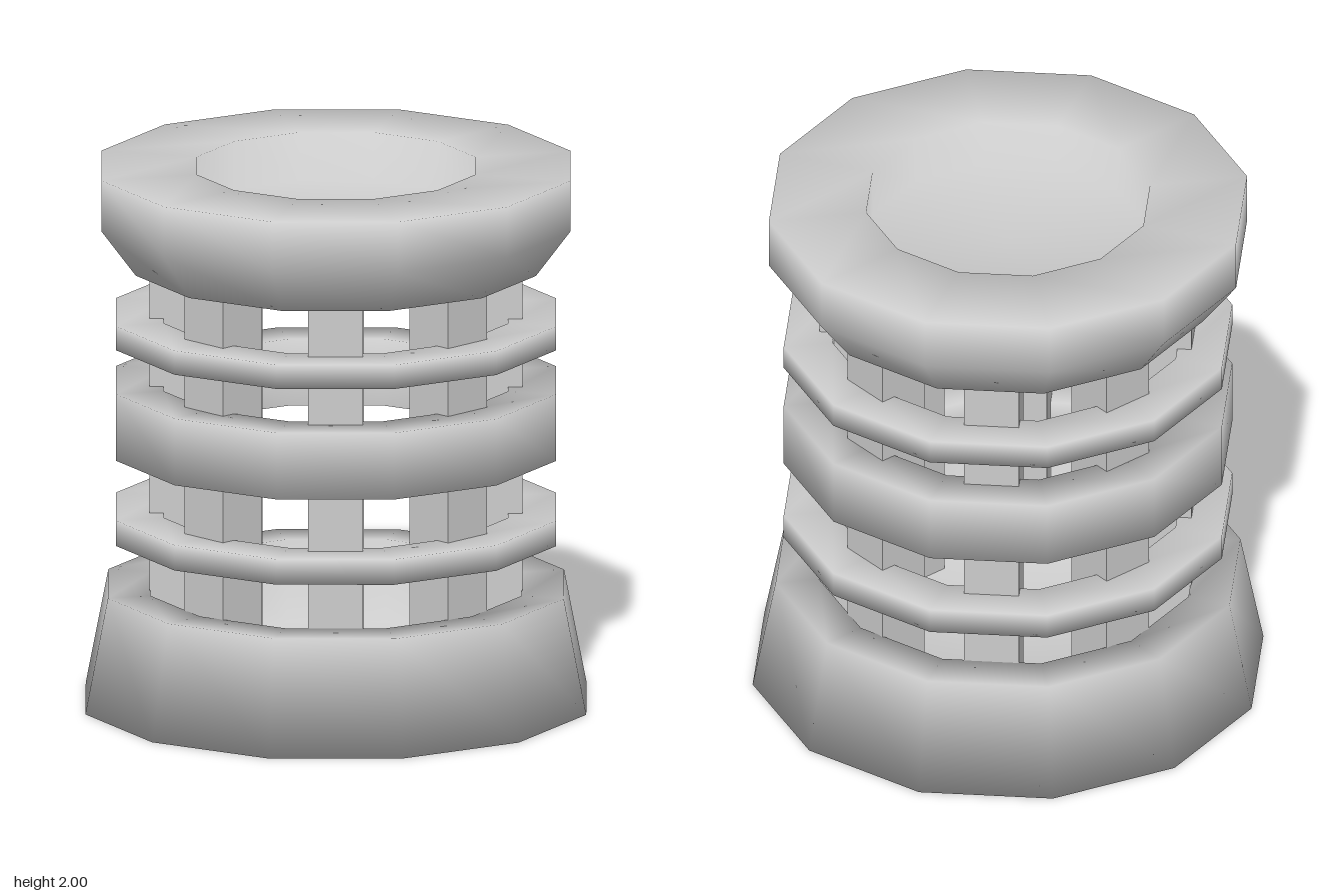
import * as THREE from 'three';

const SIDES = 12;
const material = new THREE.MeshStandardMaterial({ color: 0xcccccc });

// Twelve-sided turned part; profile runs up the outside and down the inside
function turned(name, profile) {
  const points = profile.map(([r, y]) => new THREE.Vector2(r, y));
  const mesh = new THREE.Mesh(new THREE.LatheGeometry(points, SIDES), material);
  mesh.name = name;
  return mesh;
}

// Open hoop with a rectangular section
function hoop(name, inner, outer, y0, y1) {
  return turned(name, [[inner, y0], [outer, y0], [outer, y1], [inner, y1], [inner, y0]]);
}

export function createModel() {
  const model = new THREE.Group();
  model.name = 'slattedPedestal';

  // Tapered base with a recess that holds the posts
  model.add(turned('base', [
    [0, 0], [0.945, 0], [0.86, 0.43], [0.7, 0.43], [0.7, 0.12], [0, 0.12],
  ]));

  // Flared top with a round basin
  model.add(turned('topBasin', [
    [0, 1.635], [0.755, 1.635], [0.885, 1.81], [0.885, 2], [0.525, 2], [0.525, 1.82], [0, 1.82],
  ]));

  // Hoops around the posts: thin, thick, thin
  model.add(hoop('lowerHoop', 0.65, 0.83, 0.625, 0.72));
  model.add(hoop('middleHoop', 0.65, 0.83, 0.945, 1.195));
  model.add(hoop('upperHoop', 0.65, 0.83, 1.36, 1.45));

  // Eight square posts facing outward
  const posts = new THREE.Group();
  posts.name = 'posts';
  const bottom = 0.1, top = 1.7;
  const postGeometry = new THREE.BoxGeometry(0.2, top - bottom, 0.2);
  for (let i = 0; i < 8; i++) {
    const angle = (i / 8) * Math.PI * 2;
    const post = new THREE.Mesh(postGeometry, material);
    post.name = 'post';
    post.position.set(0.58 * Math.sin(angle), (bottom + top) / 2, 0.58 * Math.cos(angle));
    post.rotation.y = angle;
    posts.add(post);
  }
  model.add(posts);

  return model;
}
